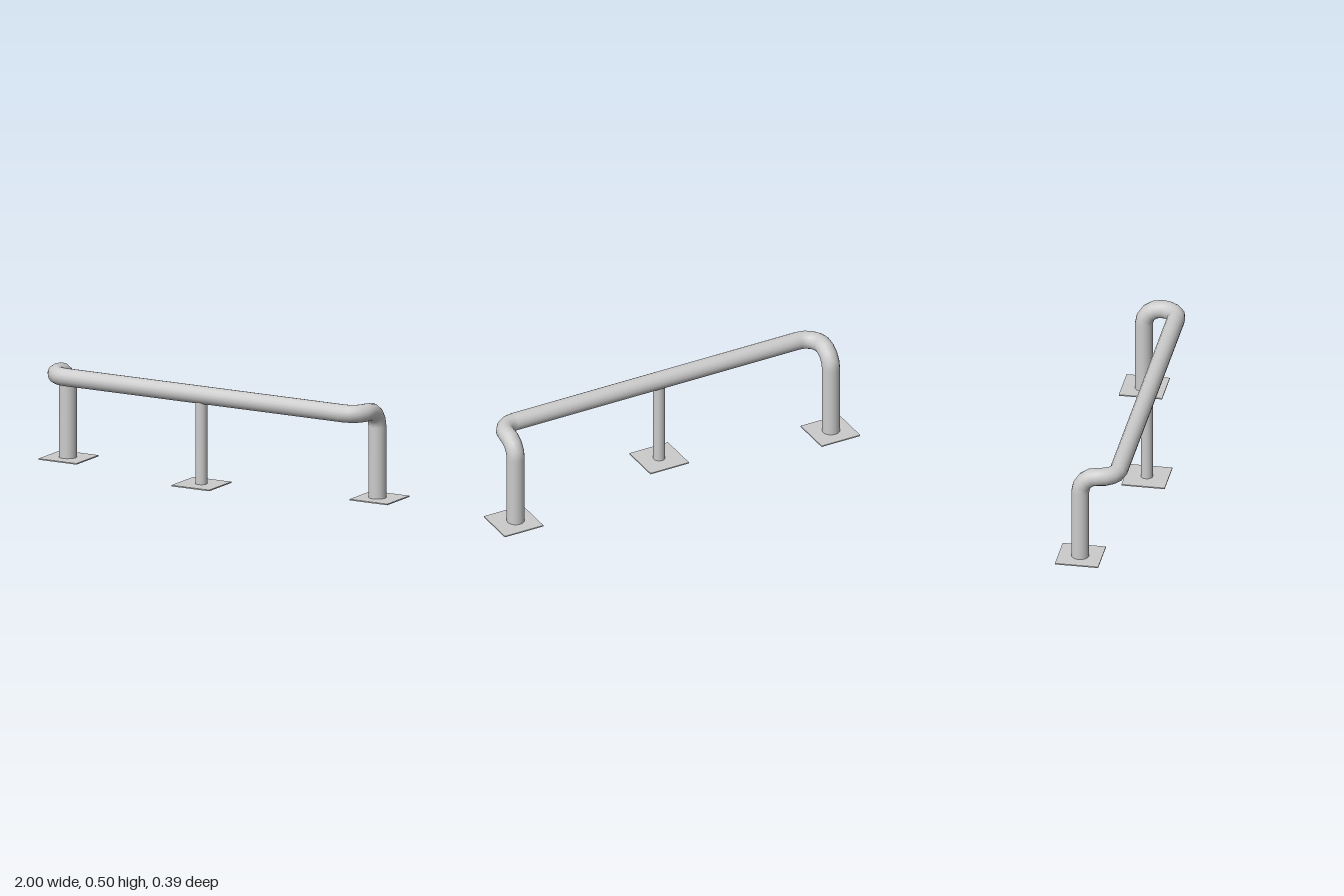
import * as THREE from 'three';

const R = 0.045, SIDES = 16, STEPS = 4;
const LEG_Z = -0.089, RAIL_Z = 0.089, RAIL_Y = 0.455, BEND = 0.089;

// Sweeps a circle along stations { p: centre, t: unit tangent }.
function sweep(stations, radius, sides) {
  const pos = [], nor = [], idx = [];
  const side = new THREE.Vector3(1, 0, 0), q = new THREE.Quaternion();
  stations.forEach(({ p, t }, i) => {
    if (i > 0) side.applyQuaternion(q.setFromUnitVectors(stations[i - 1].t, t));
    const up = new THREE.Vector3().crossVectors(t, side);
    for (let j = 0; j <= sides; j++) {
      const a = (j / sides) * Math.PI * 2;
      const n = side.clone().multiplyScalar(Math.cos(a)).addScaledVector(up, Math.sin(a));
      nor.push(n.x, n.y, n.z);
      pos.push(p.x + n.x * radius, p.y + n.y * radius, p.z + n.z * radius);
      if (i > 0 && j < sides) {
        const b = i * (sides + 1) + j, a0 = b - sides - 1;
        idx.push(a0, a0 + 1, b, a0 + 1, b + 1, b);
      }
    }
  });
  const g = new THREE.BufferGeometry();
  g.setAttribute('position', new THREE.Float32BufferAttribute(pos, 3));
  g.setAttribute('normal', new THREE.Float32BufferAttribute(nor, 3));
  g.setIndex(idx);
  return g;
}

// Quarter bend that starts at a point heading along d0 and leaves along d1.
function bend(start, d0, d1) {
  const out = [];
  for (let i = 0; i <= STEPS; i++) {
    const a = (i / STEPS) * Math.PI / 2, s = Math.sin(a), c = Math.cos(a);
    out.push({
      p: start.clone().addScaledVector(d0, BEND * s).addScaledVector(d1, BEND * (1 - c)),
      t: d0.clone().multiplyScalar(c).addScaledVector(d1, s),
    });
  }
  return out;
}

export function createModel() {
  const model = new THREE.Group();
  const mat = new THREE.MeshStandardMaterial({ color: 0xcccccc, side: THREE.DoubleSide });
  const add = (name, geo, x, y, z) => {
    const mesh = new THREE.Mesh(geo, mat);
    mesh.name = name;
    mesh.position.set(x, y, z);
    model.add(mesh);
  };
  const v = (x, y, z) => new THREE.Vector3(x, y, z);

  // Bent tube: up one leg, forward, across, back and down the other leg
  const xr = -0.895, xl = 0.88;
  const up = v(0, 1, 0), down = v(0, -1, 0), fwd = v(0, 0, 1), back = v(0, 0, -1), across = v(1, 0, 0);
  const path = [
    { p: v(xr, 0.003, LEG_Z), t: up },
    ...bend(v(xr, RAIL_Y - BEND, LEG_Z), up, fwd),
    ...bend(v(xr, RAIL_Y, RAIL_Z - BEND), fwd, across),
    ...bend(v(xl - BEND, RAIL_Y, RAIL_Z), across, back),
    ...bend(v(xl, RAIL_Y, LEG_Z + BEND), back, down),
    { p: v(xl, 0.003, LEG_Z), t: down },
  ];
  add('bentRail', sweep(path, R, SIDES), 0, 0, 0);

  // Middle support post
  const postH = 0.425;
  add('middlePost', new THREE.CylinderGeometry(0.03, 0.03, postH, SIDES), -0.025, postH / 2 + 0.002, RAIL_Z);

  // Floor plates
  const plate = new THREE.BoxGeometry(0.217, 0.006, 0.217);
  add('rightFootPlate', plate, -0.8915, 0.003, LEG_Z);
  add('leftFootPlate', plate, 0.8915, 0.003, LEG_Z);
  add('middleFootPlate', plate, -0.025, 0.003, RAIL_Z);
  return model;
}
